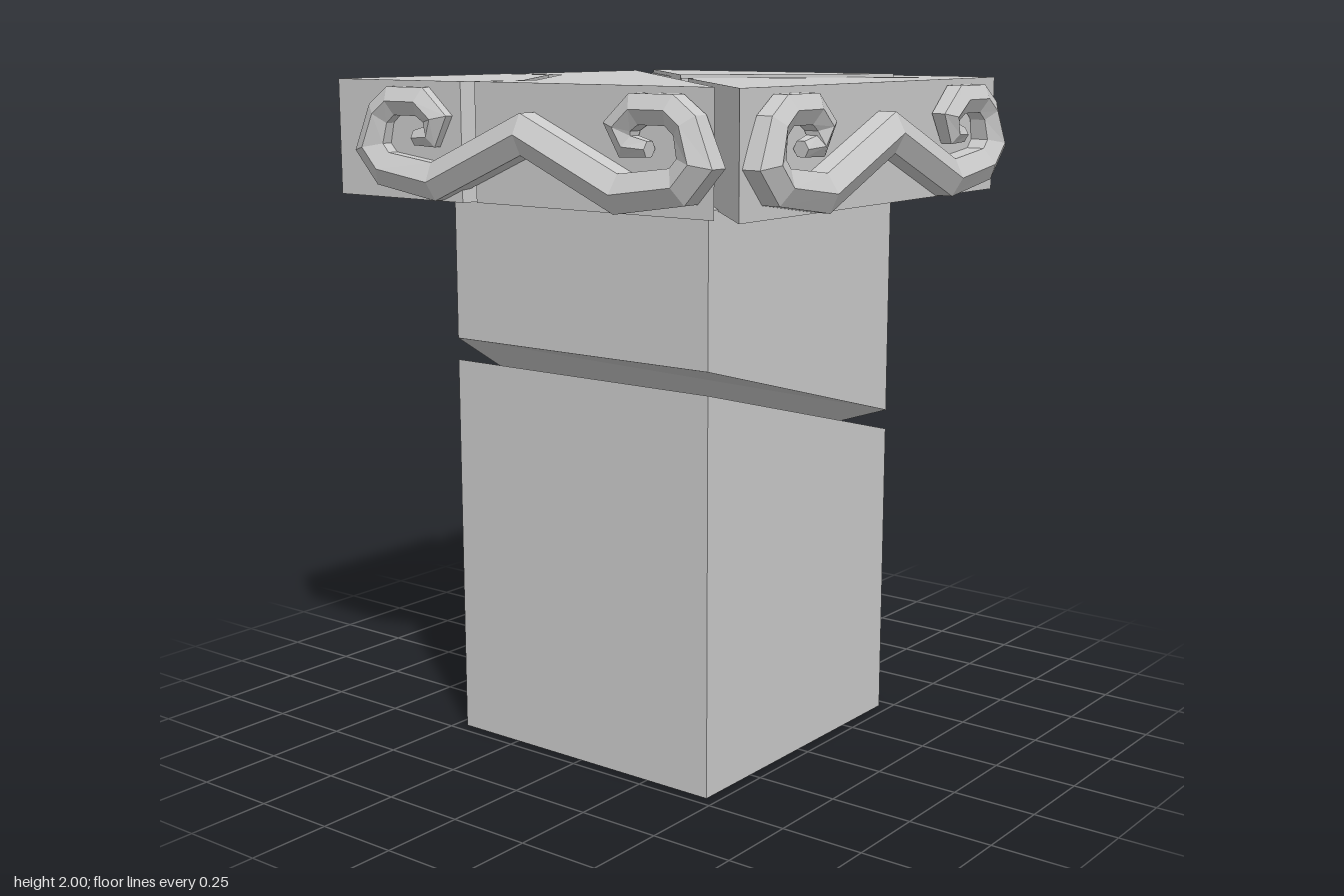
import * as THREE from 'three';

const stone = new THREE.MeshStandardMaterial({ color: 0xcccccc, flatShading: true });

function addMesh(parent, name, geometry) {
  const mesh = new THREE.Mesh(geometry, stone);
  mesh.name = name;
  parent.add(mesh);
  return mesh;
}

// Geometry from quads, each listed counter-clockwise from outside
function fromQuads(quads) {
  const pos = [];
  for (const [a, b, c, d] of quads) for (const p of [a, b, c, a, c, d]) pos.push(...p);
  const g = new THREE.BufferGeometry();
  g.setAttribute('position', new THREE.Float32BufferAttribute(pos, 3));
  g.computeVertexNormals();
  return g;
}

// Square shaft block; heights per corner: front right, front left, back left, back right
function shaftBlock(bottom, top) {
  const s = 0.465;
  const corners = [[-s, s], [s, s], [s, -s], [-s, -s]];
  const at = (h) => corners.map(([x, z], i) => [x, h[i], z]);
  const b = at(bottom), t = at(top);
  const quads = [0, 1, 2, 3].map((i) => {
    const j = (i + 1) % 4;
    return [b[i], b[j], t[j], t[i]];
  });
  quads.push(t, [b[2], b[1], b[0], b[3]]);
  return fromQuads(quads);
}

// Flat slab with an outline in x, z
function slab(outline, y0, y1) {
  const shape = new THREE.Shape(outline.map(([x, z]) => new THREE.Vector2(x, -z)));
  const g = new THREE.ExtrudeGeometry(shape, { depth: y1 - y0, bevelEnabled: false });
  g.rotateX(-Math.PI / 2);
  g.translate(0, y0, 0);
  return g;
}

// Half of the scroll moulding: across, up, radius
const HALF = [
  [0, 1.855, 0.06], [0.33, 1.712, 0.06], [0.53, 1.74, 0.057], [0.585, 1.8, 0.057],
  [0.55, 1.895, 0.048], [0.5, 1.932, 0.046], [0.385, 1.932, 0.046],
  [0.328, 1.885, 0.042], [0.352, 1.835, 0.034], [0.42, 1.83, 0.024],
];
const FULL = [...HALF.slice(1).reverse().map(([x, y, r]) => [-x, y, r]), ...HALF];

// Six-sided moulding swept along a flat path, ridge pointing to +z
function moulding(path) {
  const n = path.length;
  const P = path.map(([x, y]) => new THREE.Vector2(x, y));
  const rings = path.map(([x, y, r], i) => {
    const d0 = P[i].clone().sub(P[Math.max(i - 1, 0)]).normalize();
    const d1 = P[Math.min(i + 1, n - 1)].clone().sub(P[i]).normalize();
    const t = d0.clone().add(d1).normalize();
    if (Math.abs(x) < 0.02) t.set(1, 0);
    const miter = 1 / Math.max(0.75, t.dot(i ? d0 : d1));
    return Array.from({ length: 6 }, (_, k) => {
      const a = (k * Math.PI) / 3;
      const w = Math.sin(a) * r * miter;
      return [x - t.y * w, y + t.x * w, Math.cos(a) * r];
    });
  });
  const quads = [];
  for (let i = 0; i < n - 1; i++) {
    for (let k = 0; k < 6; k++) {
      const m = (k + 1) % 6;
      quads.push([rings[i][k], rings[i + 1][k], rings[i + 1][m], rings[i][m]]);
    }
  }
  const [s, e] = [rings[0], rings[n - 1]];
  quads.push([s[0], s[1], s[2], s[3]], [s[0], s[3], s[4], s[5]]);
  quads.push([e[3], e[2], e[1], e[0]], [e[5], e[4], e[3], e[0]]);
  return fromQuads(quads);
}

export function createModel() {
  const model = new THREE.Group();
  model.name = 'brokenColumn';

  // Shaft, cracked across by a slanting break
  addMesh(model, 'lowerShaft', shaftBlock([0, 0, 0, 0], [1.16, 1.16, 0.91, 0.6]));
  addMesh(model, 'upperShaft', shaftBlock([1.225, 1.225, 0.97, 0.655], [1.66, 1.66, 1.66, 1.66]));

  // Capital, split into four fragments
  const capital = new THREE.Group();
  capital.name = 'capital';
  model.add(capital);
  const fragments = {
    leftFragment: [[0.7, -0.66], [0.06, 0.02], [0.7, 0.655]],
    backFragment: [[-0.25, -0.665], [-0.46, -0.465], [0.035, 0.02], [0.66, -0.662]],
    middleFragment: [[-0.705, -0.69], [-0.71, -0.095], [-0.51, -0.073], [-0.17, 0.43],
      [-0.22, 0.63], [0.605, 0.63]],
    frontRightFragment: [[-0.74, -0.062], [-0.74, 0.655], [-0.25, 0.655], [-0.195, 0.455],
      [-0.54, -0.045]],
  };
  for (const [name, outline] of Object.entries(fragments)) {
    addMesh(capital, name, slab(outline, 1.655, 1.99));
  }
  // Slightly raised flake on the back fragment
  addMesh(capital, 'raisedFlake', slab([[-0.45, -0.465], [0.03, 0.018], [0.465, -0.465]], 1.98, 2.0));

  // Scroll mouldings on the four faces; two are snapped at the middle
  const sides = [
    ['front', 0, 0, 0.66, false],
    ['left', Math.PI / 2, 0.726, 0, false],
    ['back', Math.PI, 0, -0.666, true],
    ['right', -Math.PI / 2, -0.73, 0, true],
  ];
  const mid = HALF.length - 1;
  for (const [name, angle, x, z, snapped] of sides) {
    const group = new THREE.Group();
    group.name = name + 'Scrolls';
    group.position.set(x, 0, z);
    group.rotation.y = angle;
    capital.add(group);
    if (!snapped) {
      addMesh(group, name + 'Scroll', moulding(FULL));
      continue;
    }
    const halves = [FULL.slice(0, mid + 1), FULL.slice(mid)];
    halves.forEach((path, i) => {
      const gap = i ? 0.008 : -0.008;
      addMesh(group, name + 'ScrollHalf' + (i + 1),
        moulding(path.map(([u, y, r]) => [u === 0 ? gap : u, y, r])));
    });
  }
  return model;
}
